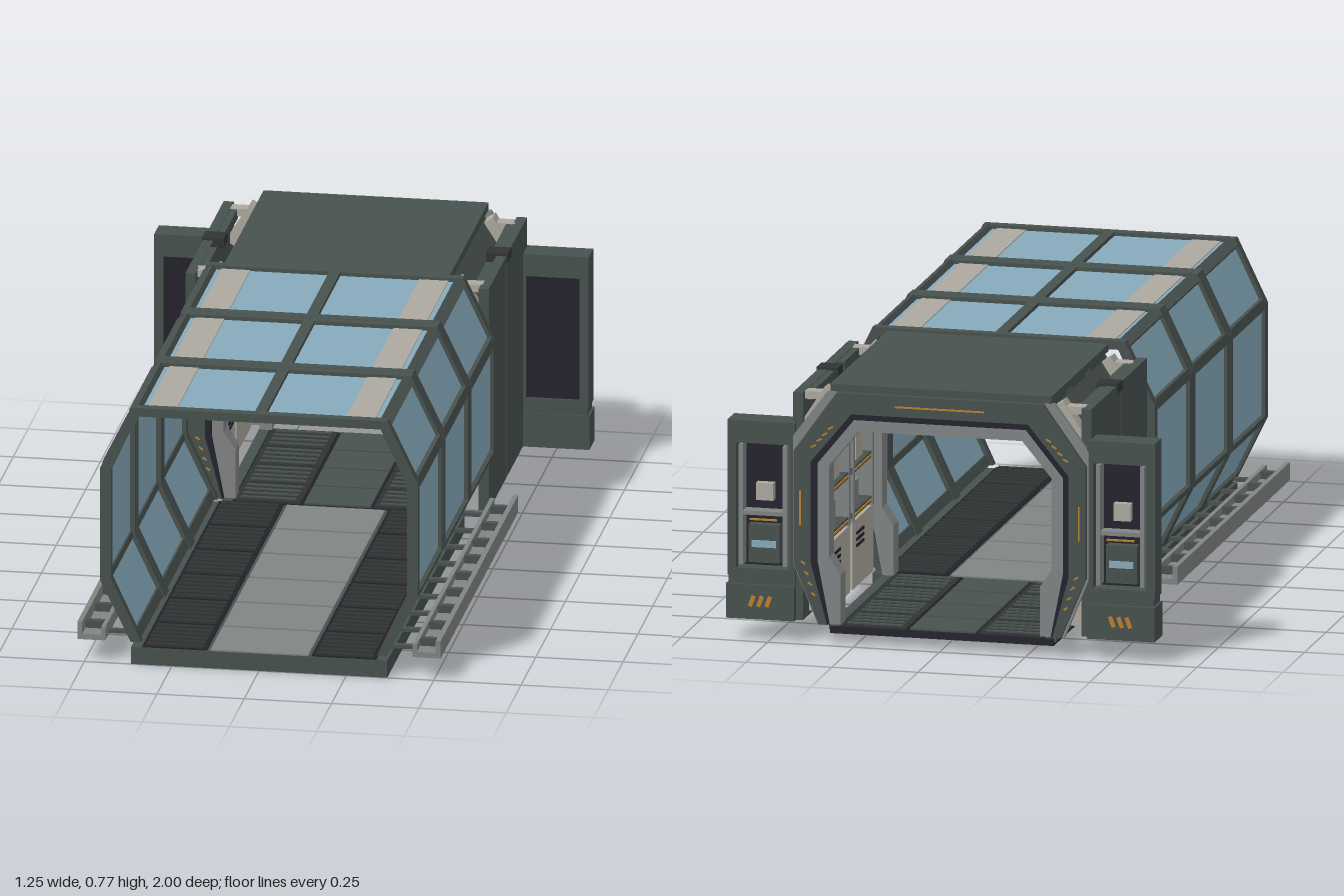
import * as THREE from 'three';

const material = (name, color, side = THREE.FrontSide) => {
  const m = new THREE.MeshStandardMaterial({ color, side });
  m.name = name;
  return m;
};

export function createModel() {
  const model = new THREE.Group();
  model.name = 'glassCorridor';
  const frame = material('frame green grey', 0x47514e);
  const glass = material('glass blue', 0x86aabb, THREE.DoubleSide);
  const grey = material('rail grey', 0x808483);
  const tan = material('pale tan', 0xada99f);
  const navy = material('dark navy', 0x23212c);
  const orange = material('marking orange', 0xb9822c);
  const tread = material('tread charcoal', 0x303433);

  const group = (name) => {
    const g = new THREE.Group();
    g.name = name;
    model.add(g);
    return g;
  };
  // Box given by its extents
  const box = (parent, name, mat, x0, x1, y0, y1, z0, z1) => {
    const m = new THREE.Mesh(new THREE.BoxGeometry(Math.abs(x1 - x0), y1 - y0, z1 - z0), mat);
    m.position.set((x0 + x1) / 2, (y0 + y1) / 2, (z0 + z1) / 2);
    m.name = name;
    parent.add(m);
    return m;
  };
  // The same box on both sides
  const pair = (parent, name, mat, x0, x1, ...rest) => {
    for (const s of [1, -1]) box(parent, name, mat, s * x0, s * x1, ...rest);
  };
  // Pair of long bars or plates turned about z
  const turnedPair = (parent, name, mat, x, y, w, h, angle, z0, z1) => {
    for (const s of [1, -1]) {
      const m = box(parent, name, mat, s * x - w / 2, s * x + w / 2, y - h / 2, y + h / 2, z0, z1);
      m.rotation.z = s * angle;
    }
  };
  // Open arch between two half outlines, each listed from the foot up
  const arch = (parent, name, mat, outer, inner, z0, z1) => {
    const mirror = (pts) => pts.map(([x, y]) => [-x, y]);
    const pts = [...outer, ...mirror(outer).reverse(), ...mirror(inner), ...[...inner].reverse()];
    const shape = new THREE.Shape(pts.map(([x, y]) => new THREE.Vector2(x, y)));
    const m = new THREE.Mesh(new THREE.ExtrudeGeometry(shape, { depth: z1 - z0, bevelEnabled: false }), mat);
    m.position.z = z0;
    m.name = name;
    parent.add(m);
  };

  // Glass corridor: three bays with hoops, beams, panes and floor
  const hoopOut = [[0.367, 0.065], [0.455, 0.245], [0.455, 0.58], [0.367, 0.763]];
  const hoopIn = [[0.337, 0.065], [0.424, 0.252], [0.424, 0.573], [0.348, 0.738]];
  const paneOut = [[0.356, 0.065], [0.444, 0.248], [0.444, 0.577], [0.36, 0.752]];
  const paneIn = [[0.35, 0.065], [0.438, 0.249], [0.438, 0.576], [0.356, 0.746]];
  const bayLength = 1.312 / 3;
  for (let i = 0; i < 3; i++) {
    const bay = group('corridorBay');
    const z0 = -0.312 + i * bayLength + 0.001;
    const z1 = z0 + bayLength - 0.002;
    arch(bay, 'hoop', frame, hoopOut, hoopIn, z0, z0 + 0.03);
    arch(bay, 'hoop', frame, hoopOut, hoopIn, z1 - 0.03, z1);
    arch(bay, 'glassPanes', glass, paneOut, paneIn, z0 + 0.03, z1 - 0.03);
    const a = z0 + 0.029, b = z1 - 0.029;
    box(bay, 'ridgeBeam', frame, -0.016, 0.016, 0.738, 0.763, a, b);
    turnedPair(bay, 'roofBeam', frame, 0.356, 0.747, 0.024, 0.034, 1.0, a, b);
    turnedPair(bay, 'shoulderBeam', frame, 0.442, 0.578, 0.024, 0.03, 0.22, a, b);
    turnedPair(bay, 'waistBeam', frame, 0.442, 0.248, 0.024, 0.02, -0.22, a, b);
    turnedPair(bay, 'footBeam', frame, 0.36, 0.078, 0.024, 0.03, -0.46, a, b);
    pair(bay, 'roofStrip', tan, 0.242, 0.325, 0.743, 0.755, a, b);
    // Floor slab with a pale walkway and ribbed treads
    box(bay, 'floorSlab', frame, -0.367, 0.367, 0, 0.05, z0, z1);
    for (let k = 0; k < 2; k++) {
      const c = z0 + k * bayLength / 2;
      box(bay, 'walkwayPanel', grey, -0.14, 0.14, 0.049, 0.054, c + 0.006, c + bayLength / 2 - 0.006);
      pair(bay, 'treadPanel', navy, 0.15, 0.335, 0.049, 0.054, c + 0.006, c + bayLength / 2 - 0.006);
      for (let j = 0; j < 6; j++) {
        const z = c + 0.02 + j * 0.034;
        pair(bay, 'treadRib', tread, 0.16, 0.325, 0.053, 0.06, z, z + 0.018);
      }
    }
  }

  // Side rails with rungs
  const rails = group('sideRails');
  pair(rails, 'railPlate', grey, 0.44, 0.52, 0.066, 0.082, -0.312, 1);
  pair(rails, 'railLip', grey, 0.506, 0.52, 0.08, 0.118, -0.312, 1);
  pair(rails, 'railInnerLip', grey, 0.44, 0.452, 0.08, 0.105, -0.312, 1);
  for (let i = 0; i < 9; i++) {
    const z = -0.26 + i * 0.148;
    pair(rails, 'railRung', frame, 0.452, 0.506, 0.082, 0.104, z, z + 0.02);
    pair(rails, 'railBracket', frame, 0.36, 0.445, 0.07, 0.08, z, z + 0.02);
  }

  // Portals: one at each end of the rear module
  const ringOut = [[0.352, 0.06], [0.425, 0.235], [0.425, 0.56], [0.3, 0.735]];
  const ringIn = [[0.328, 0.06], [0.376, 0.24], [0.376, 0.53], [0.257, 0.675]];
  const sealIn = [[0.322, 0.06], [0.358, 0.245], [0.358, 0.525], [0.25, 0.658]];
  const linerIn = [[0.29, 0.06], [0.29, 0.205], [0.324, 0.255], [0.324, 0.52], [0.238, 0.624]];
  const backOut = [[0.36, 0.06], [0.43, 0.23], [0.43, 0.6], [0.33, 0.735]];
  for (const side of [1, -1]) {
    const p = group(side > 0 ? 'frontPortal' : 'rearPortal');
    p.position.z = side > 0 ? -0.305 : -1;
    if (side < 0) p.rotation.y = Math.PI;
    arch(p, 'portalRing', frame, ringOut, ringIn, -0.025, -0.002);
    arch(p, 'portalSeal', navy, ringIn, sealIn, -0.035, -0.006);
    arch(p, 'portalLiner', grey, sealIn, linerIn, -0.07, -0.012);
    if (side < 0) arch(p, 'portalBacking', grey, backOut, ringIn, -0.034, -0.018);
    // Orange markings
    box(p, 'topMark', orange, -0.13, 0.13, 0.701, 0.706, -0.003, 0);
    pair(p, 'sideMark', orange, 0.403, 0.408, 0.345, 0.445, -0.003, 0);
    for (let i = 0; i < 4; i++) {
      const t = i / 3;
      turnedPair(p, 'shoulderDash', orange, 0.367 - 0.05 * t, 0.577 + 0.055 * t, 0.016, 0.005, -0.5, -0.003, 0);
      turnedPair(p, 'footDash', orange, 0.397 - 0.03 * t, 0.237 - 0.09 * t, 0.014, 0.005, 0.6, -0.003, 0);
    }
  }

  // Rear module shell
  const shell = group('rearModule');
  box(shell, 'roof', frame, -0.322, 0.322, 0.735, 0.756, -0.98, -0.318);
  box(shell, 'ceiling', grey, -0.27, 0.27, 0.7, 0.735, -0.96, -0.34);
  for (const [z0, z1] of [[-0.617, -0.322], [-0.967, -0.623]]) {
    pair(shell, 'outerWall', frame, 0.405, 0.434, 0.062, 0.722, z0, z1);
    pair(shell, 'wallTopLip', frame, 0.385, 0.412, 0.69, 0.72, z0 + 0.05, z1 - 0.05);
  }
  turnedPair(shell, 'shoulderPlate', frame, 0.357, 0.648, 0.19, 0.012, -0.95, -0.965, -0.32);
  for (const z of [-0.375, -0.925]) {
    turnedPair(shell, 'shoulderBracket', tan, 0.37, 0.675, 0.13, 0.03, -1.0, z - 0.025, z + 0.025);
    pair(shell, 'bracketCap', tan, 0.335, 0.41, 0.7, 0.722, z - 0.02, z + 0.02);
  }
  pair(shell, 'wallClamp', tread, 0.375, 0.438, 0.7, 0.728, -0.68, -0.62);
  for (const z of [-0.42, -0.64, -0.86]) pair(shell, 'roofSpacer', frame, 0.25, 0.315, 0.715, 0.737, z - 0.08, z + 0.08);
  for (const z of [-0.48, -0.8]) {
    pair(shell, 'ceilingVent', tread, 0.04, 0.22, 0.694, 0.702, z - 0.11, z + 0.11);
    for (let i = 0; i < 5; i++) pair(shell, 'ventSlat', grey, 0.06, 0.2, 0.69, 0.696, z - 0.08 + i * 0.036, z - 0.07 + i * 0.036);
  }

  // Rear floor with tiles
  box(shell, 'floorPan', navy, -0.325, 0.325, 0.03, 0.05, -0.97, -0.315);
  pair(shell, 'floorEdge', frame, 0.3, 0.33, 0.04, 0.054, -0.965, -0.32);
  for (let i = 0; i < 4; i++) {
    const z = -0.965 + i * 0.161;
    box(shell, 'floorTile', frame, -0.095, 0.095, 0.049, 0.055, z + 0.005, z + 0.156);
    pair(shell, 'floorTile', tread, 0.105, 0.295, 0.049, 0.055, z + 0.005, z + 0.156);
    for (let j = 0; j < 4; j++) pair(shell, 'floorRib', frame, 0.12, 0.28, 0.054, 0.059, z + 0.02 + j * 0.036, z + 0.03 + j * 0.036);
  }

  // Interior lockers and shelves
  const fittings = group('interiorFittings');
  for (const zc of [-0.51, -0.78]) {
    const a = zc - 0.12, b = zc + 0.12;
    pair(fittings, 'locker', tan, 0.345, 0.405, 0.075, 0.27, a, b);
    for (let i = 0; i < 3; i++) pair(fittings, 'lockerVent', navy, 0.341, 0.346, 0.19 + i * 0.018, 0.198 + i * 0.018, zc - 0.08, zc);
    pair(fittings, 'shelfBack', navy, 0.395, 0.405, 0.27, 0.57, a, b);
    for (const y of [0.28, 0.41, 0.54]) {
      pair(fittings, 'shelf', frame, 0.345, 0.4, y, y + 0.018, a, b);
      pair(fittings, 'shelfMark', orange, 0.342, 0.346, y + 0.006, y + 0.012, zc - 0.09, zc + 0.09);
    }
    for (const z of [a, b - 0.02]) pair(fittings, 'shelfPost', grey, 0.343, 0.4, 0.27, 0.57, z, z + 0.02);
    pair(fittings, 'storedCase', grey, 0.36, 0.395, 0.298, 0.37, zc - 0.07, zc + 0.01);
    pair(fittings, 'storedCase', tan, 0.36, 0.395, 0.428, 0.5, zc - 0.02, zc + 0.06);
  }
  for (let i = 0; i < 4; i++) box(fittings, 'hook', navy, -0.345, -0.315, 0.425 + i * 0.022, 0.437 + i * 0.022, -0.64, -0.61);

  // Side cabinets beside the rear portal
  const cabinets = group('sideCabinets');
  pair(cabinets, 'cabinetTop', frame, 0.425, 0.622, 0.57, 0.635, -0.98, -0.9);
  pair(cabinets, 'outerPost', frame, 0.596, 0.622, 0.185, 0.571, -0.98, -0.9);
  pair(cabinets, 'innerPost', frame, 0.425, 0.442, 0.185, 0.571, -0.98, -0.9);
  pair(cabinets, 'cabinetSill', frame, 0.425, 0.618, 0.16, 0.207, -0.98, -0.905);
  pair(cabinets, 'cabinetBase', frame, 0.425, 0.624, 0.062, 0.162, -0.99, -0.9);
  pair(cabinets, 'cabinetPanel', navy, 0.441, 0.597, 0.206, 0.571, -0.93, -0.91);
  pair(cabinets, 'nicheEdge', grey, 0.45, 0.462, 0.215, 0.565, -0.976, -0.928);
  pair(cabinets, 'nicheEdge', grey, 0.578, 0.59, 0.215, 0.565, -0.976, -0.928);
  pair(cabinets, 'nicheShelf', grey, 0.462, 0.578, 0.36, 0.372, -0.972, -0.928);
  pair(cabinets, 'nicheUnit', frame, 0.475, 0.565, 0.22, 0.33, -0.96, -0.928);
  pair(cabinets, 'nicheDial', tan, 0.495, 0.545, 0.4, 0.45, -0.955, -0.928);
  pair(cabinets, 'nicheScreen', glass, 0.485, 0.555, 0.265, 0.285, -0.964, -0.959);
  pair(cabinets, 'nicheMark', orange, 0.48, 0.56, 0.345, 0.35, -0.972, -0.966);
  for (let i = 0; i < 3; i++) turnedPair(cabinets, 'baseMark', orange, 0.5 + i * 0.024, 0.115, 0.012, 0.032, 0.35, -0.993, -0.989);

  return model;
}
